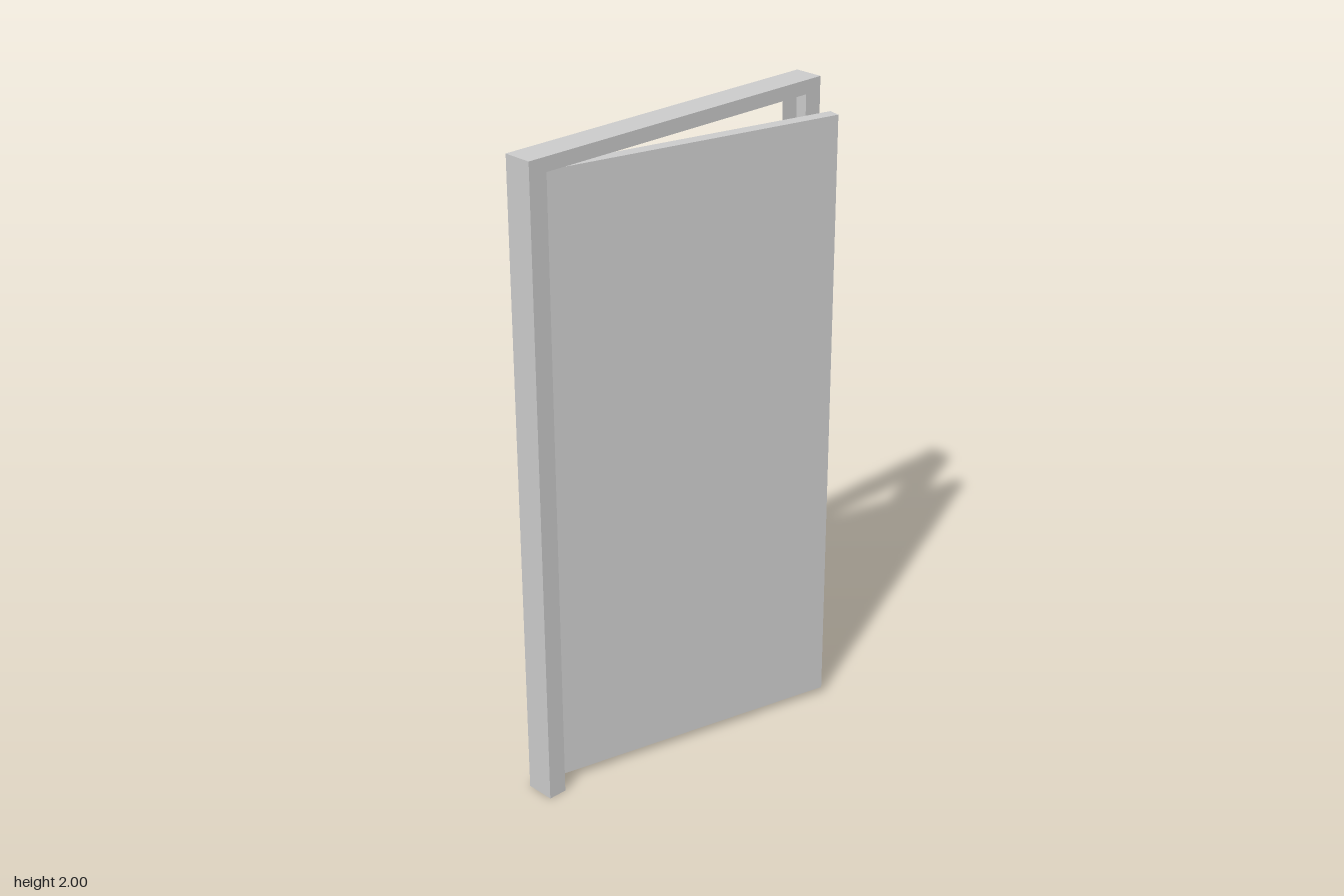
import * as THREE from 'three';

const material = new THREE.MeshStandardMaterial({ color: 0xcccccc, flatShading: true, side: THREE.DoubleSide });

// Solid box given by its lower and upper corners
function block(name, lo, hi) {
  const size = hi.map((v, i) => v - lo[i]);
  const mesh = new THREE.Mesh(new THREE.BoxGeometry(...size), material);
  mesh.name = name;
  mesh.position.set(...hi.map((v, i) => (v + lo[i]) / 2));
  return mesh;
}

// Hollow post made from flat polygons; corner names are
// i/o = inner/outer, f/b = front/back, 0/1 = bottom/top
function shell(name, inner, outer, top, faces) {
  const corner = (c) => [c[0] === 'i' ? inner : outer, c[2] === '1' ? top : 0, c[1] === 'f' ? FRONT : BACK];
  const pos = [];
  for (const face of faces) {
    const p = face.split(' ').map(corner);
    for (let k = 1; k < p.length - 1; k++) pos.push(...p[0], ...p[k], ...p[k + 1]);
  }
  const geo = new THREE.BufferGeometry();
  geo.setAttribute('position', new THREE.Float32BufferAttribute(pos, 3));
  geo.computeVertexNormals();
  const mesh = new THREE.Mesh(geo, material);
  mesh.name = name;
  return mesh;
}

const FRONT = -0.04, BACK = -0.133;

export function createModel() {
  const group = new THREE.Group();
  group.name = 'doorway';

  // Frame: lintel over two thin-walled posts
  group.add(block('lintel', [-0.5, 1.957, BACK], [0.56, 2, FRONT]));

  // Hinge post, open on the side facing the door
  group.add(shell('hingePost', -0.5, -0.56, 2, [
    'of0 if0 if1 of1',
    'ib0 ob0 ob1 ib1',
    'ob0 of0 of1 ob1',
    'of1 if1 ib1 ob1',
    'ob0 ib0 if0 of0',
  ]));

  // Latch post, open below, each side closed by half a panel
  group.add(shell('latchPost', 0.5, 0.56, 1.957, [
    'if0 of0 of1 if1',
    'ob0 ib0 ib1 ob1',
    'ob0 ob1 of1',
    'ib0 if0 if1',
  ]));

  // Door leaf, swung ajar about the hinge
  const leaf = new THREE.Group();
  leaf.name = 'doorLeaf';
  leaf.add(block('doorPanel', [0, 0.023, 0], [0.98, 1.943, 0.04]));
  leaf.position.set(-0.491, 0, -0.131);
  leaf.rotation.y = -THREE.MathUtils.degToRad(13);
  group.add(leaf);

  return group;
}
